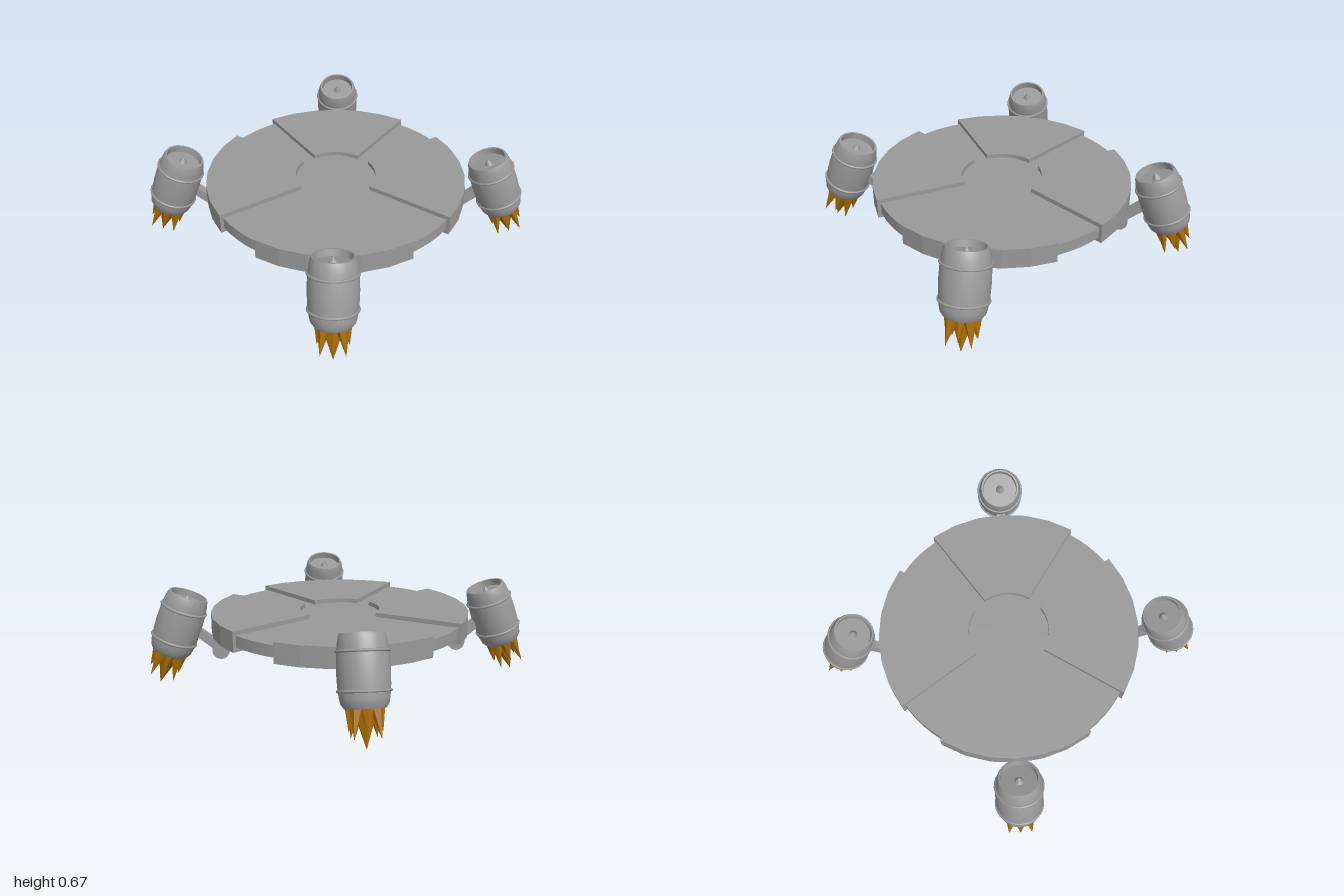
import * as THREE from 'three';
import { toCreasedNormals } from 'three/addons/utils/BufferGeometryUtils.js';

const metal = new THREE.MeshStandardMaterial({ color: 0x999999 });
metal.name = 'grey metal';
const fire = new THREE.MeshStandardMaterial({ color: 0xa86c08 });
fire.name = 'amber flame';

function add(parent, name, geometry, material = metal) {
  const mesh = new THREE.Mesh(geometry, material);
  mesh.name = name;
  parent.add(mesh);
  return mesh;
}

function disc(radius, bottom, top) {
  return toCreasedNormals(new THREE.CylinderGeometry(radius, radius, top - bottom, 64)
    .translate(0, (bottom + top) / 2, 0), 0.6);
}

// Raised ring sector between two of the cross-shaped channels
function sectorGeometry() {
  const steps = 6, start = Math.PI / 16, step = Math.PI / 16;
  const points = [];
  for (let i = 0; i <= steps; i++) {
    const a = start + i * step;
    points.push(new THREE.Vector2(Math.cos(a) * 0.895, Math.sin(a) * 0.895));
  }
  for (let i = steps * 2; i >= 0; i--) {
    const a = start + i * step / 2;
    points.push(new THREE.Vector2(Math.cos(a) * 0.277, Math.sin(a) * 0.277));
  }
  const geometry = new THREE.ExtrudeGeometry(new THREE.Shape(points), { depth: 0.14, bevelEnabled: false });
  return geometry.rotateX(-Math.PI / 2).translate(0, 0.36, 0);
}

// Square bar between two points in the local y-z plane
function bar(parent, name, y0, z0, y1, z1, width, thickness) {
  const length = Math.hypot(y1 - y0, z1 - z0);
  const mesh = add(parent, name, new THREE.BoxGeometry(width, thickness, length));
  mesh.position.set(0, (y0 + y1) / 2, (z0 + z1) / 2);
  mesh.rotation.x = -Math.atan2(y1 - y0, z1 - z0);
}

// Pointed flame tongue from a base point to a tip
function tongue(parent, radius, base, tip) {
  const dir = tip.clone().sub(base);
  const mesh = add(parent, 'flameTongue', toCreasedNormals(new THREE.ConeGeometry(radius, dir.length(), 6), 0.3), fire);
  mesh.position.copy(base).add(tip).multiplyScalar(0.5);
  mesh.quaternion.setFromUnitVectors(new THREE.Vector3(0, 1, 0), dir.normalize());
}

function createThruster() {
  const thruster = new THREE.Group();
  thruster.name = 'thruster';

  // Barrel with a recessed intake at the top
  const profile = [
    [0, 0.005], [0.115, 0.005], [0.122, 0], [0.14, 0.025], [0.148, 0.06], [0.155, 0.13], [0.158, 0.215],
    [0.155, 0.3], [0.148, 0.37], [0.14, 0.41], [0.132, 0.43], [0.12, 0.43], [0.117, 0.385], [0, 0.385],
  ].map(([r, y]) => new THREE.Vector2(r, y));
  add(thruster, 'barrel', toCreasedNormals(new THREE.LatheGeometry(profile, 32), 0.6));

  // Raised hoops
  for (const y of [0.1, 0.328]) {
    const hoop = add(thruster, 'hoop', new THREE.TorusGeometry(0.154, 0.009, 8, 32));
    hoop.rotation.x = Math.PI / 2;
    hoop.position.y = y;
  }

  // Spinner in the intake
  add(thruster, 'intakeSpinner', new THREE.ConeGeometry(0.03, 0.045, 16)).position.y = 0.407;

  // Exhaust flame: a central tongue ringed by long and short ones
  const flame = new THREE.Group();
  flame.name = 'exhaustFlame';
  thruster.add(flame);
  tongue(flame, 0.08, new THREE.Vector3(0, 0.004, 0), new THREE.Vector3(0, -0.235, 0));
  for (let i = 0; i < 8; i++) {
    const a = i * Math.PI / 4, long = i % 2 === 1;
    const at = (r, y) => new THREE.Vector3(Math.sin(a) * r, y, Math.cos(a) * r);
    tongue(flame, 0.042, at(0.078, 0.004), long ? at(0.112, -0.175) : at(0.1, -0.135));
  }
  return thruster;
}

export function createModel() {
  const model = new THREE.Group();
  model.name = 'hoverPlatform';

  add(model, 'corePlate', disc(0.87, 0.39, 0.47));
  add(model, 'lowerHub', disc(0.465, 0.285, 0.4));

  for (let i = 0; i < 4; i++) {
    const deckSector = add(model, 'deckSector', sectorGeometry());
    deckSector.rotation.y = i * Math.PI / 2;

    // Thruster arm, built pointing along +z and turned to its corner
    const arm = new THREE.Group();
    arm.name = 'thrusterArm';
    arm.rotation.y = Math.PI / 4 + i * Math.PI / 2;
    model.add(arm);

    bar(arm, 'innerStrut', 0.38, 0.5, 0.235, 0.83, 0.06, 0.05);
    bar(arm, 'outerStrut', 0.235, 0.83, 0.4, 1.03, 0.06, 0.06);
    const joint = add(arm, 'joint',
      toCreasedNormals(new THREE.CylinderGeometry(0.06, 0.06, 0.12, 24), 0.6));
    joint.rotation.z = Math.PI / 2;
    joint.position.set(0, 0.237, 0.835);

    const thruster = createThruster();
    thruster.position.set(0, 0.225, 1.188);
    thruster.rotation.x = -THREE.MathUtils.degToRad(20);
    arm.add(thruster);
  }
  return model;
}
